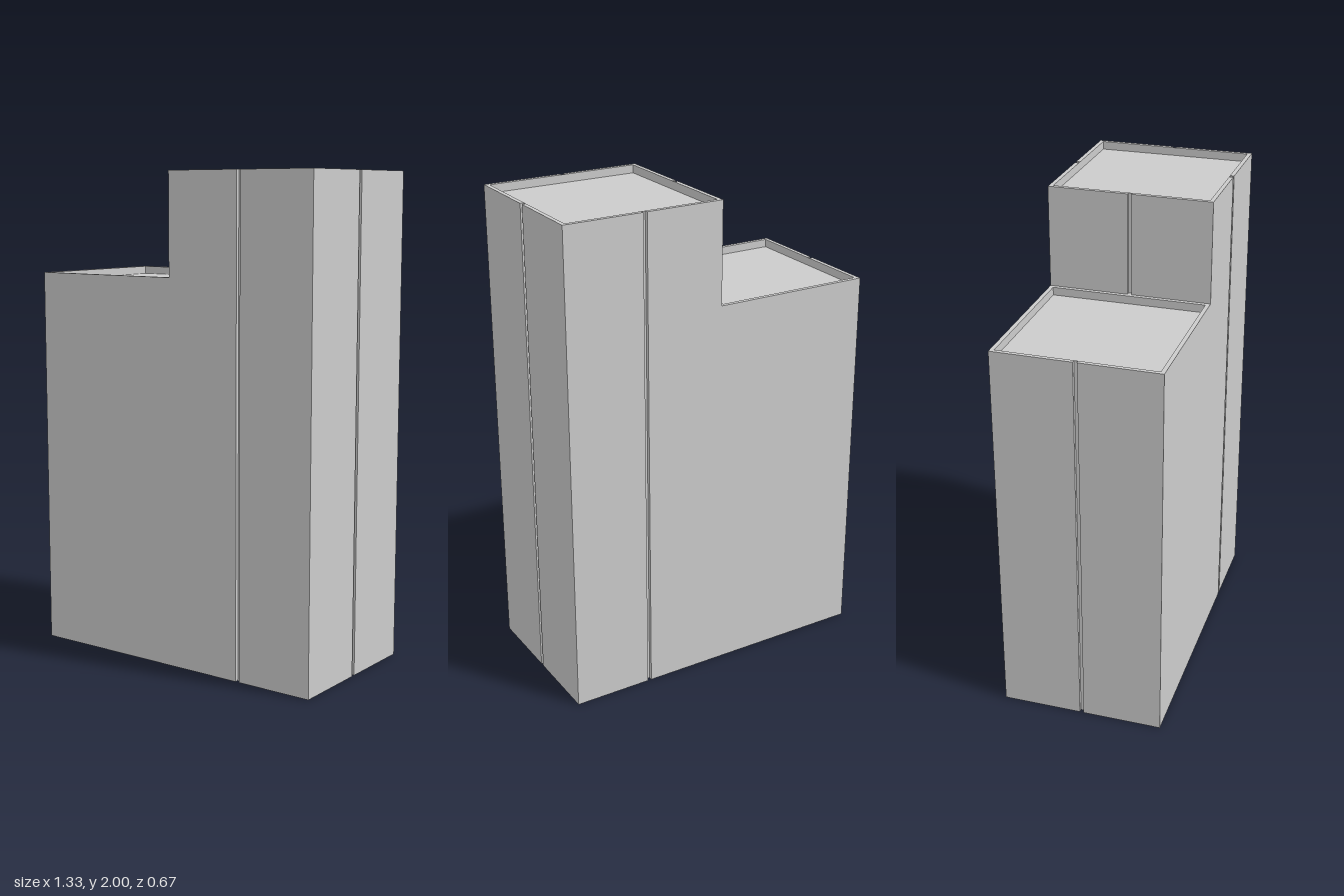
import * as THREE from 'three';

const HALF = 0.333;      // half width of each square block
const WALL = 0.017;      // parapet thickness
const RIM = 0.033;       // parapet height
const GROOVE_W = 0.008;  // half width of a groove
const GROOVE_D = 0.015;  // groove depth
const LOW = 1.585, HIGH = 2;

const material = new THREE.MeshStandardMaterial({ color: 0xcccccc, flatShading: true });

// Square plan walked side by side (front, right, back, left), notched where wanted
function plan(cx, notched) {
  const points = [];
  for (let side = 0; side < 4; side++) {
    const edge = [[-HALF, -HALF]];
    if (notched[side]) {
      edge.push([-GROOVE_W, -HALF], [-GROOVE_W, -HALF + GROOVE_D],
        [GROOVE_W, -HALF + GROOVE_D], [GROOVE_W, -HALF]);
    }
    for (const [x, y] of edge) {
      points.push(new THREE.Vector2(x, y)
        .rotateAround(new THREE.Vector2(), side * Math.PI / 2)
        .add(new THREE.Vector2(cx, 0)));
    }
  }
  return new THREE.Shape(points);
}

// Upright prism between two heights
function prism(name, shape, y0, y1) {
  const geometry = new THREE.ExtrudeGeometry(shape, { depth: y1 - y0, bevelEnabled: false });
  geometry.rotateX(-Math.PI / 2).translate(0, y0, 0);
  const mesh = new THREE.Mesh(geometry, material);
  mesh.name = name;
  return mesh;
}

// Hollow parapet around a sunken roof
function parapet(name, cx, notched, top) {
  const shape = plan(cx, notched);
  const r = HALF - WALL;
  shape.holes.push(new THREE.Path([[-r, -r], [-r, r], [r, r], [r, -r]]
    .map(([x, y]) => new THREE.Vector2(cx + x, y))));
  return prism(name, shape, top - RIM, top);
}

export function createModel() {
  const model = new THREE.Group();
  model.name = 'steppedTower';

  // Tall block: grooves on every exposed side
  const all = [true, true, true, true];
  const tall = new THREE.Group();
  tall.name = 'tallBlock';
  tall.add(
    prism('tallLowerBody', plan(HALF, [true, true, true, false]), 0, LOW),
    prism('tallUpperBody', plan(HALF, all), LOW, HIGH - RIM),
    parapet('tallParapet', HALF, all, HIGH));

  // Low block: one groove on its outer end
  const end = [false, false, false, true];
  const low = new THREE.Group();
  low.name = 'lowBlock';
  low.add(
    prism('lowBody', plan(-HALF, end), 0, LOW - RIM),
    parapet('lowParapet', -HALF, end, LOW));

  model.add(tall, low);
  return model;
}
